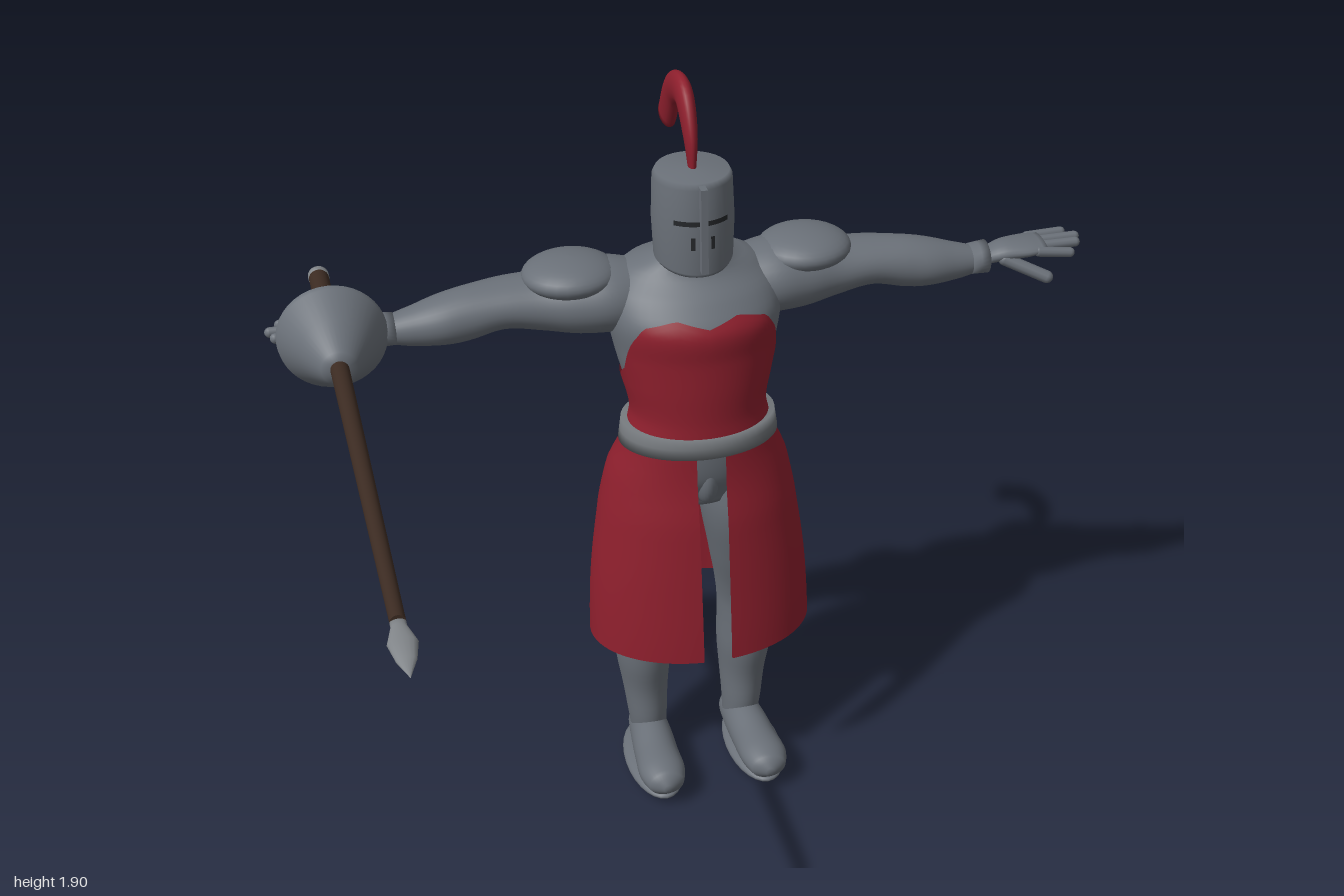
import * as THREE from 'three';
import { mergeVertices } from 'three/addons/utils/BufferGeometryUtils.js';

const makeMat = (name, color, side = THREE.FrontSide) => {
  const m = new THREE.MeshStandardMaterial({ color, side });
  m.name = name;
  return m;
};

// Surface from a rule f(u, v); optional flat caps close both ends
function grid(f, nu, nv, capped = false) {
  const pos = [], index = [], rows = [];
  for (let j = 0; j <= nv; j++) {
    const ring = [];
    for (let i = 0; i <= nu; i++) ring.push(f(i / nu, j / nv));
    rows.push(ring);
  }
  if (capped) {
    const hub = (ring) => {
      const c = [0, 1, 2].map((k) => ring.slice(0, nu).reduce((s, p) => s + p[k], 0) / nu);
      return ring.map(() => c);
    };
    rows.unshift(hub(rows[0]));
    rows.push(hub(rows[rows.length - 1]));
  }
  rows.forEach((r) => r.forEach((p) => pos.push(...p)));
  const w = nu + 1;
  for (let j = 0; j < rows.length - 1; j++) for (let i = 0; i < nu; i++) {
    const a = j * w + i;
    index.push(a, a + 1, a + w, a + 1, a + w + 1, a + w);
  }
  let g = new THREE.BufferGeometry();
  g.setAttribute('position', new THREE.Float32BufferAttribute(pos, 3));
  g.setIndex(index);
  g = mergeVertices(g, 1e-5);
  g.computeVertexNormals();
  return g;
}

// Smooth interpolation of section rows [s, centreA, centreB, halfA, halfB]
function section(rows, s) {
  let i = 0;
  while (i < rows.length - 2 && s > rows[i + 1][0]) i++;
  const p = [rows[Math.max(i - 1, 0)], rows[i], rows[i + 1], rows[Math.min(i + 2, rows.length - 1)]];
  const t = (s - p[1][0]) / (p[2][0] - p[1][0]);
  return [1, 2, 3, 4].map((k) => {
    const [a, b, c, d] = p.map((r) => r[k]);
    return b + 0.5 * t * (c - a + t * (2 * a - 5 * b + 4 * c - d + t * (3 * (b - c) + d - a)));
  });
}

// Elliptical loft along one axis
function loft(axis, rows, nu = 32, nv = 36) {
  const s0 = rows[0][0], s1 = rows[rows.length - 1][0];
  return grid((u, v) => {
    const s = s0 + (s1 - s0) * v, q = u * Math.PI * 2;
    const [ca, cb, a, b] = section(rows, s);
    if (axis === 'y') return [ca + a * Math.sin(q), s, cb + b * Math.cos(q)];
    const A = ca + a * Math.cos(q), B = cb + b * Math.sin(q);
    return axis === 'x' ? [s, A, B] : [A, B, s];
  }, nu, nv, true);
}

function mirrorX(geo) {
  const g = geo.clone().scale(-1, 1, 1);
  const ix = g.index.array;
  for (let i = 0; i < ix.length; i += 3) [ix[i], ix[i + 1]] = [ix[i + 1], ix[i]];
  g.computeVertexNormals();
  return g;
}

function ellipsoid(x, y, z, rx, ry, rz) {
  return new THREE.SphereGeometry(1, 28, 18).scale(rx, ry, rz).translate(x, y, z);
}

// Rounded finger between two points
function finger(from, to, r) {
  const a = new THREE.Vector3(...from), b = new THREE.Vector3(...to), d = b.clone().sub(a);
  const g = new THREE.CapsuleGeometry(r, d.length() - 2 * r, 5, 10);
  g.applyQuaternion(new THREE.Quaternion().setFromUnitVectors(new THREE.Vector3(0, 1, 0), d.normalize()));
  return g.translate(...a.add(b).multiplyScalar(0.5).toArray());
}

export function createModel() {
  const root = new THREE.Group();
  root.name = 'armouredSpearman';
  const steel = makeMat('steelGrey', 0x6a7078);
  const shell = makeMat('guardGrey', 0x6a7078, THREE.DoubleSide);
  const belt = makeMat('beltGrey', 0x74787c);
  const dark = makeMat('slitDark', 0x25272a);
  const red = makeMat('clothRed', 0x8e1f2d, THREE.DoubleSide);
  const wood = makeMat('woodBrown', 0x3c2b22);
  const tipGrey = makeMat('spearheadGrey', 0x82868a);

  const add = (name, geo, mat) => {
    const m = new THREE.Mesh(geo, mat);
    m.name = name;
    root.add(m);
    return m;
  };
  const pair = (name, geo, mat) => {
    add(name + 'Left', geo, mat);
    add(name + 'Right', mirrorX(geo), mat);
  };

  // Torso from pelvis to neck
  const body = [
    [0.86, 0, -0.48, 0.1, 0.09], [0.95, 0, -0.475, 0.17, 0.13], [1.05, 0, -0.465, 0.175, 0.133],
    [1.12, 0, -0.465, 0.162, 0.131], [1.2, 0, -0.475, 0.178, 0.143], [1.28, 0, -0.487, 0.197, 0.155],
    [1.36, 0, -0.495, 0.21, 0.165], [1.42, 0, -0.52, 0.205, 0.148], [1.47, 0, -0.53, 0.16, 0.11],
    [1.5, 0, -0.505, 0.095, 0.08], [1.54, 0, -0.49, 0.07, 0.07]];
  add('torso', loft('y', body, 48, 60), steel);

  // Tabard: cloth over the torso, low under the arms and high at the back
  const hem = [[0, 1.375], [20, 1.395], [43, 1.375], [55, 1.33], [70, 1.25], [90, 1.21],
    [125, 1.21], [138, 1.28], [150, 1.44], [180, 1.46]];
  const topAt = (deg) => {
    let i = 0;
    while (i < hem.length - 2 && deg > hem[i + 1][0]) i++;
    const [a, b] = [hem[i], hem[i + 1]];
    return THREE.MathUtils.mapLinear(deg, a[0], b[0], a[1], b[1]);
  };
  add('tabard', grid((u, v) => {
    const q = (u * 2 - 1) * Math.PI;
    const y = THREE.MathUtils.lerp(1.06, topAt(Math.abs(q) * 180 / Math.PI), v);
    const [, cz, a, b] = section(body, y);
    return [(a + 0.006) * Math.sin(q), y, cz + (b + 0.006) * Math.cos(q)];
  }, 96, 28), red);

  // Belt and the codpiece hanging in the skirt gap
  add('belt', loft('y', [[1.03, 0, -0.467, 0.198, 0.145], [1.085, 0, -0.467, 0.19, 0.141]], 48, 2), belt);
  add('codpiece', ellipsoid(0, 0.95, -0.4, 0.035, 0.085, 0.06), steel);

  // Skirt halves, split at front and back
  const skirt = [[0.46, 0, -0.483, 0.286, 0.208], [0.65, 0, -0.487, 0.275, 0.199], [0.85, 0, -0.49, 0.248, 0.185],
    [0.95, 0, -0.485, 0.225, 0.163], [1.04, 0, -0.468, 0.19, 0.142]];
  pair('skirt', grid((u, v) => {
    const y = 0.46 + 0.58 * v;
    const [, cz, a, b] = section(skirt, y);
    const q0 = Math.asin(0.036 / a), q = q0 + (Math.PI - 2 * q0) * u;
    return [a * Math.sin(q), y, cz + b * Math.cos(q)];
  }, 40, 20), red);

  // Legs and feet
  pair('leg', loft('y', [
    [0.05, 0.127, -0.56, 0.046, 0.058], [0.13, 0.13, -0.555, 0.052, 0.065], [0.22, 0.133, -0.56, 0.06, 0.074],
    [0.32, 0.137, -0.555, 0.071, 0.088], [0.42, 0.139, -0.55, 0.073, 0.088], [0.5, 0.138, -0.54, 0.077, 0.087],
    [0.65, 0.13, -0.51, 0.095, 0.11], [0.8, 0.115, -0.49, 0.105, 0.13], [0.92, 0.1, -0.48, 0.09, 0.115]]), steel);
  pair('foot', loft('z', [
    [-0.632, 0.127, 0.045, 0.025, 0.03], [-0.61, 0.127, 0.055, 0.045, 0.05], [-0.52, 0.13, 0.065, 0.054, 0.06],
    [-0.42, 0.135, 0.066, 0.058, 0.055], [-0.34, 0.138, 0.074, 0.06, 0.045], [-0.29, 0.138, 0.073, 0.045, 0.034],
    [-0.272, 0.138, 0.07, 0.012, 0.012]]), steel);
  pair('sole', ellipsoid(0.138, 0.026, -0.46, 0.074, 0.026, 0.17), steel);

  // Arms, shoulder plates and cuffs
  pair('arm', loft('x', [
    [0.1, 1.385, -0.54, 0.08, 0.09], [0.2, 1.395, -0.54, 0.088, 0.108], [0.28, 1.392, -0.545, 0.082, 0.102],
    [0.36, 1.392, -0.55, 0.068, 0.086], [0.45, 1.397, -0.55, 0.058, 0.077], [0.54, 1.385, -0.542, 0.063, 0.07],
    [0.6, 1.378, -0.538, 0.058, 0.066], [0.68, 1.371, -0.535, 0.043, 0.047], [0.735, 1.37, -0.535, 0.031, 0.036]]), steel);
  pair('shoulderPlate', ellipsoid(0.285, 1.455, -0.545, 0.115, 0.046, 0.107), steel);
  pair('cuff', loft('x', [[0.705, 1.371, -0.535, 0.037, 0.042], [0.748, 1.373, -0.535, 0.04, 0.045]], 24, 2), steel);

  // Open hands
  pair('palm', loft('x', [
    [0.745, 1.375, -0.535, 0.02, 0.03], [0.79, 1.385, -0.535, 0.023, 0.042],
    [0.85, 1.388, -0.537, 0.02, 0.052], [0.895, 1.39, -0.54, 0.013, 0.05]], 24, 12), steel);
  [0.965, 0.99, 1.0, 0.975].forEach((tip, i) => {
    const z = -0.498 - i * 0.028;
    pair('finger' + (i + 1), finger([0.86, 1.388, z], [tip, 1.388 - (i ? 0 : 0.012), z - (i - 1.5) * 0.004], 0.0125), steel);
  });
  pair('thumb', finger([0.775, 1.378, -0.512], [0.9, 1.325, -0.462], 0.016), steel);

  // Helmet with keel bar and slits
  const profile = [[0, 1.49], [0.088, 1.49], [0.093, 1.5], [0.097, 1.6], [0.093, 1.7], [0.086, 1.714], [0, 1.718]]
    .map((p) => new THREE.Vector2(...p));
  const helm = new THREE.LatheGeometry(profile, 40).scale(1, 1, 1.07).translate(0, 0, -0.49);
  const hp = helm.attributes.position;
  for (let i = 0; i < hp.count; i++) {
    const front = Math.max(0, hp.getZ(i) + 0.45) / 0.065;
    if (hp.getY(i) < 1.51) hp.setY(i, hp.getY(i) - 0.012 * front);
  }
  add('helmet', helm, steel);
  add('keelBar', new THREE.BoxGeometry(0.016, 0.21, 0.03).translate(0, 1.605, -0.384), steel);
  const slit = (name, y, h, q0, q1) => add(name,
    new THREE.CylinderGeometry(0.0985, 0.0985, h, 16, 1, true, q0, q1 - q0).scale(1, 1, 1.07).translate(0, y, -0.49), dark);
  slit('eyeSlit', 1.62, 0.012, -0.7, 0.7);
  for (const s of [-1, 1]) slit('breathSlit', 1.57, 0.032, s * 0.24 - 0.05, s * 0.24 + 0.05);

  // Curling plume
  const curl = new THREE.CatmullRomCurve3([[1.7, -0.487], [1.79, -0.502], [1.862, -0.56], [1.84, -0.66], [1.745, -0.738]]
    .map(([y, z]) => new THREE.Vector3(0, y, z)));
  add('plume', grid((u, v) => {
    const p = curl.getPoint(v), t = curl.getTangent(v), q = u * Math.PI * 2;
    const r = 0.014 + 0.024 * Math.sin(Math.min(1, v * 1.8) * Math.PI / 2), n = r * Math.sin(q);
    return [r * 0.55 * Math.cos(q), p.y + n * t.z, p.z - n * t.y];
  }, 20, 32, true), red);

  // Spear with conical hand guard, pointing forward
  const spear = new THREE.Group();
  spear.name = 'spear';
  spear.position.set(-0.85, 1.385, 0);
  root.add(spear);
  const lathe = (pts, n = 32) => new THREE.LatheGeometry(pts.map((p) => new THREE.Vector2(...p)), n);
  const part = (name, geo, mat, z) => {
    const m = add(name, geo.rotateX(Math.PI / 2).translate(0, 0, z), mat);
    spear.add(m);
  };
  part('shaft', new THREE.CylinderGeometry(0.016, 0.024, 1.47, 20), wood, -0.085);
  part('spearhead', lathe([[0, 0], [0.016, 0], [0.016, 0.02], [0.03, 0.075], [0.02, 0.13], [0, 0.185]], 16).scale(1, 1, 0.5), tipGrey, 0.645);
  part('buttCap', lathe([[0, 0], [0.015, 0.004], [0.025, 0.018], [0.025, 0.035], [0, 0.036]], 20), tipGrey, -0.84);
  part('handGuard', lathe([[0.128, 0], [0.126, 0.015], [0.085, 0.085], [0.042, 0.16], [0.018, 0.165]], 40), shell, -0.51);

  return root;
}
